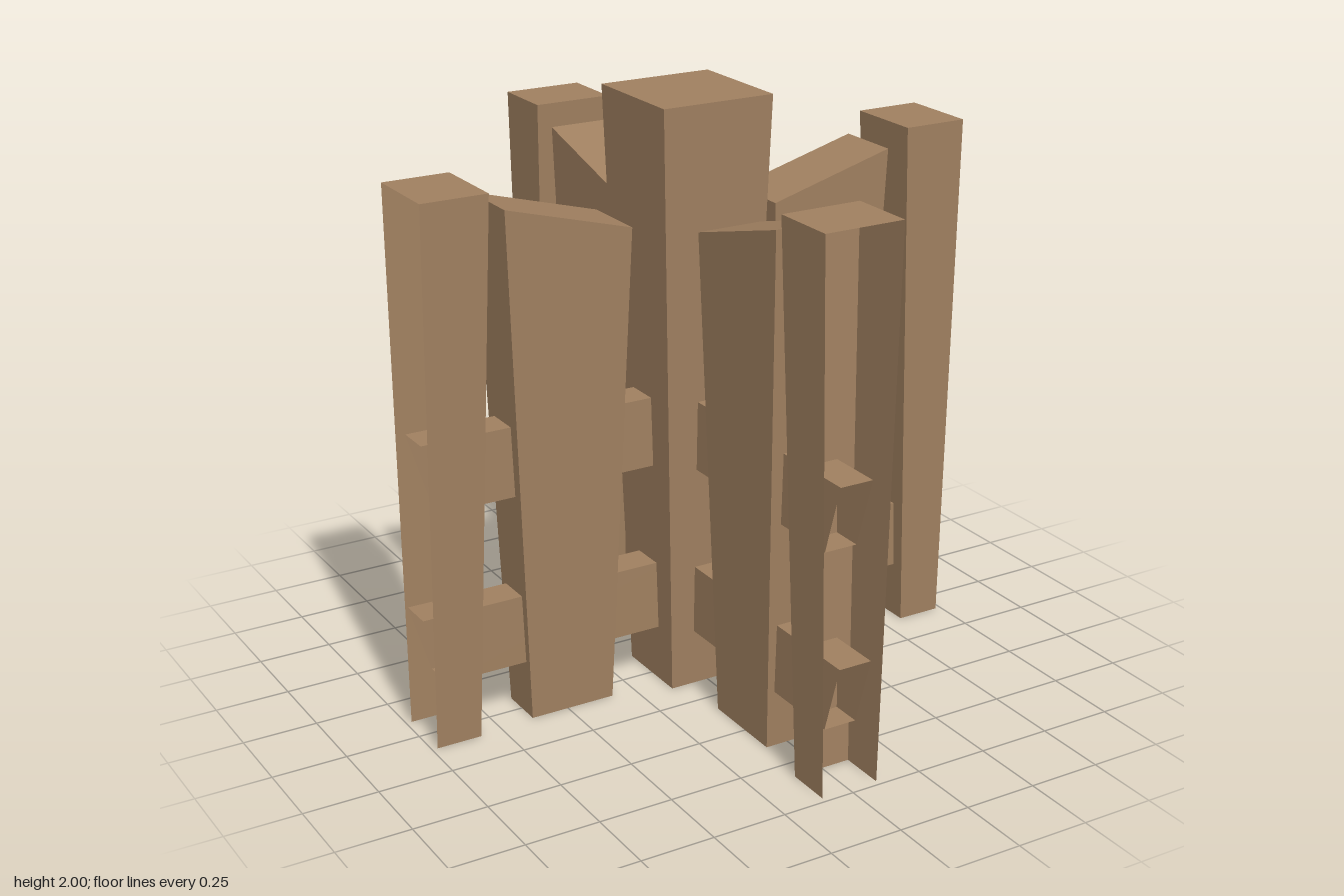
import * as THREE from 'three';

// Corner order: bottom 0-3, top 4-7, each going (in,-z) (out,-z) (out,+z) (in,+z)
const FACES = {
  right: [1, 0, 4, 5],
  outer: [2, 1, 5, 6],
  left: [3, 2, 6, 7],
  inner: [0, 3, 7, 4],
  top: [7, 6, 5, 4],
  bottom: [0, 1, 2, 3],
};

// Tapered block along +x; each end gives inner x, outer x, half depth, inner y, outer y
function taperedBlock(name, material, low, high, open) {
  const corners = [];
  for (const [x0, x1, d, y0, y1] of [low, high]) {
    corners.push([x0, y0, -d], [x1, y1, -d], [x1, y1, d], [x0, y0, d]);
  }
  const points = [];
  for (const [face, [a, b, c, e]] of Object.entries(FACES)) {
    if (open.includes(face)) continue;
    for (const i of [a, b, c, a, c, e]) points.push(...corners[i]);
  }
  const geometry = new THREE.BufferGeometry();
  geometry.setAttribute('position', new THREE.Float32BufferAttribute(points, 3));
  geometry.computeVertexNormals();
  const mesh = new THREE.Mesh(geometry, material);
  mesh.name = name;
  return mesh;
}

export function createModel() {
  const wood = new THREE.MeshStandardMaterial({ color: 0xa08060, side: THREE.DoubleSide, flatShading: true });
  wood.name = 'wood brown';

  const model = new THREE.Group();
  model.name = 'postCluster';

  // Tall central post, open underneath
  model.add(taperedBlock('centrePost', wood, [-0.137, 0.137, 0.137, 0, 0], [-0.195, 0.195, 0.195, 2, 2], ['bottom']));

  // Four identical arms
  for (let i = 0; i < 4; i++) {
    const arm = new THREE.Group();
    arm.name = 'arm' + (i + 1);

    // Broad slab with a top that rises outwards
    arm.add(taperedBlock('slab', wood, [0.333, 0.63, 0.078, 0, 0], [0.262, 0.697, 0.114, 1.62, 1.74], ['bottom']));

    // End post, hollow on its outer side
    arm.add(taperedBlock('endPost', wood, [0.827, 0.981, 0.1, 0, 0], [0.757, 0.981, 0.136, 1.806, 1.806], ['bottom', 'outer']));

    // Two rails with slanted open ends
    arm.add(taperedBlock('lowerRail', wood, [0.1, 0.92, 0.057, 0.197, 0.197], [0.1, 0.993, 0.057, 0.434, 0.434], ['outer', 'inner']));
    arm.add(taperedBlock('upperRail', wood, [0.1, 0.9, 0.057, 0.784, 0.784], [0.1, 0.975, 0.057, 1.021, 1.021], ['outer', 'inner']));

    arm.rotation.y = i * Math.PI / 2;
    model.add(arm);
  }
  return model;
}
